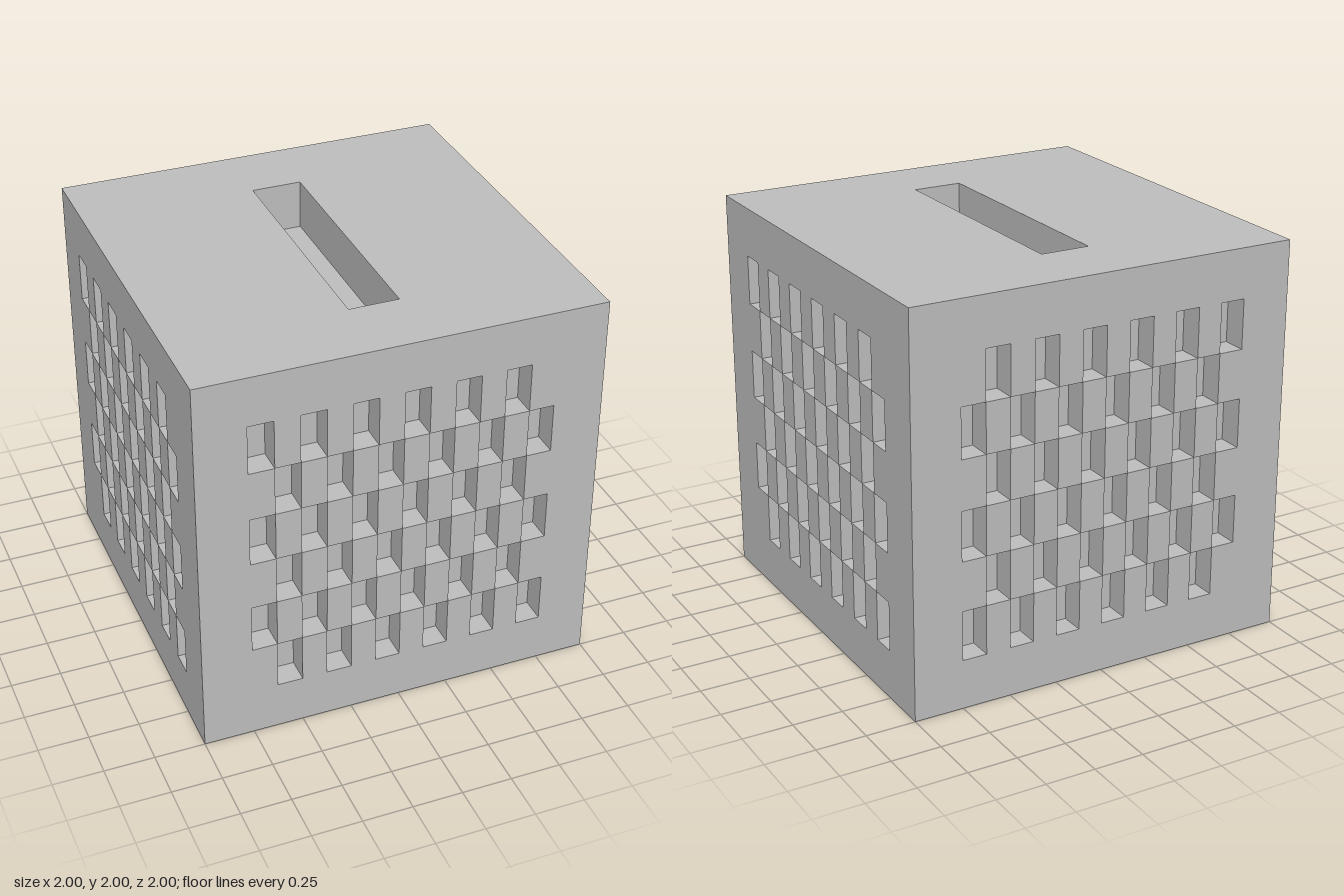
import * as THREE from 'three';
import { mergeGeometries } from 'three/addons/utils/BufferGeometryUtils.js';

const T = 0.125;      // recess depth and cell width
const COLS = 12, ROWS = 6, HALF = 0.75;

// Block between two corners of a panel, in the outer layer of the cube
function slab(x0, x1, y0, y1) {
  const g = new THREE.BoxGeometry(x1 - x0, y1 - y0, T);
  g.translate((x0 + x1) / 2, (y0 + y1) / 2, 1 - T / 2);
  return g;
}

// Outer frame plus the raised cells; row 0 is at the bottom, column 0 at the left
function latticeGeometry(isHole, halfWidth, bottom, top) {
  const parts = [
    slab(-halfWidth, -HALF, bottom, top),
    slab(HALF, halfWidth, bottom, top),
    slab(-HALF, HALF, bottom, -HALF),
  ];
  if (top > HALF) parts.push(slab(-HALF, HALF, HALF, top));
  for (let r = 0; r < ROWS; r++) {
    for (let c = 0; c < COLS; c++) {
      if (isHole(r, c)) continue;
      const x = -HALF + c * T, y = -HALF + r * 2 * T;
      parts.push(slab(x, x + T, y, y + 2 * T));
    }
  }
  return mergeGeometries(parts);
}

export function createModel() {
  const model = new THREE.Group();
  const grey = new THREE.MeshStandardMaterial({ color: 0xc0c0c0 });
  grey.name = 'grey';

  const add = (name, geometry) => {
    const mesh = new THREE.Mesh(geometry, grey);
    mesh.name = name;
    model.add(mesh);
    return mesh;
  };

  // Solid core forms the floors of all recesses
  add('core', new THREE.BoxGeometry(1.75, 1.625, 1.75)).position.y = 0.9375;

  // Four side panels with staggered recesses
  const sides = [
    ['frontPanel', 0, 1, 1],
    ['rightPanel', Math.PI / 2, 1, 0.875],
    ['backPanel', Math.PI, 0, 1],
    ['leftPanel', -Math.PI / 2, 1, 0.875],
  ];
  for (const [name, angle, shift, halfWidth] of sides) {
    const geometry = latticeGeometry((r, c) => (r + c) % 2 === shift, halfWidth, -0.875, HALF);
    geometry.rotateY(angle);
    add(name, geometry).position.y = 1;
  }

  // Base panel facing down, with two cells filled at the back corners
  const baseHole = (r, c) =>
    (r + c) % 2 === 1 && !(r === 0 && c === 11) && !(r === 1 && c === 0);
  const base = latticeGeometry(baseHole, 1, -1, 1);
  base.rotateX(Math.PI / 2);
  add('basePanel', base).position.y = 1;

  // Lid with a long slot
  const rect = (P, w, h) => new P([
    new THREE.Vector2(-w, -h), new THREE.Vector2(w, -h),
    new THREE.Vector2(w, h), new THREE.Vector2(-w, h),
  ]);
  const outline = rect(THREE.Shape, 1, 1);
  outline.holes.push(rect(THREE.Path, 0.125, 0.625));
  const lid = new THREE.ExtrudeGeometry(outline, { depth: 0.25, bevelEnabled: false });
  lid.rotateX(-Math.PI / 2);
  add('slottedLid', lid).position.y = 1.75;

  return model;
}
